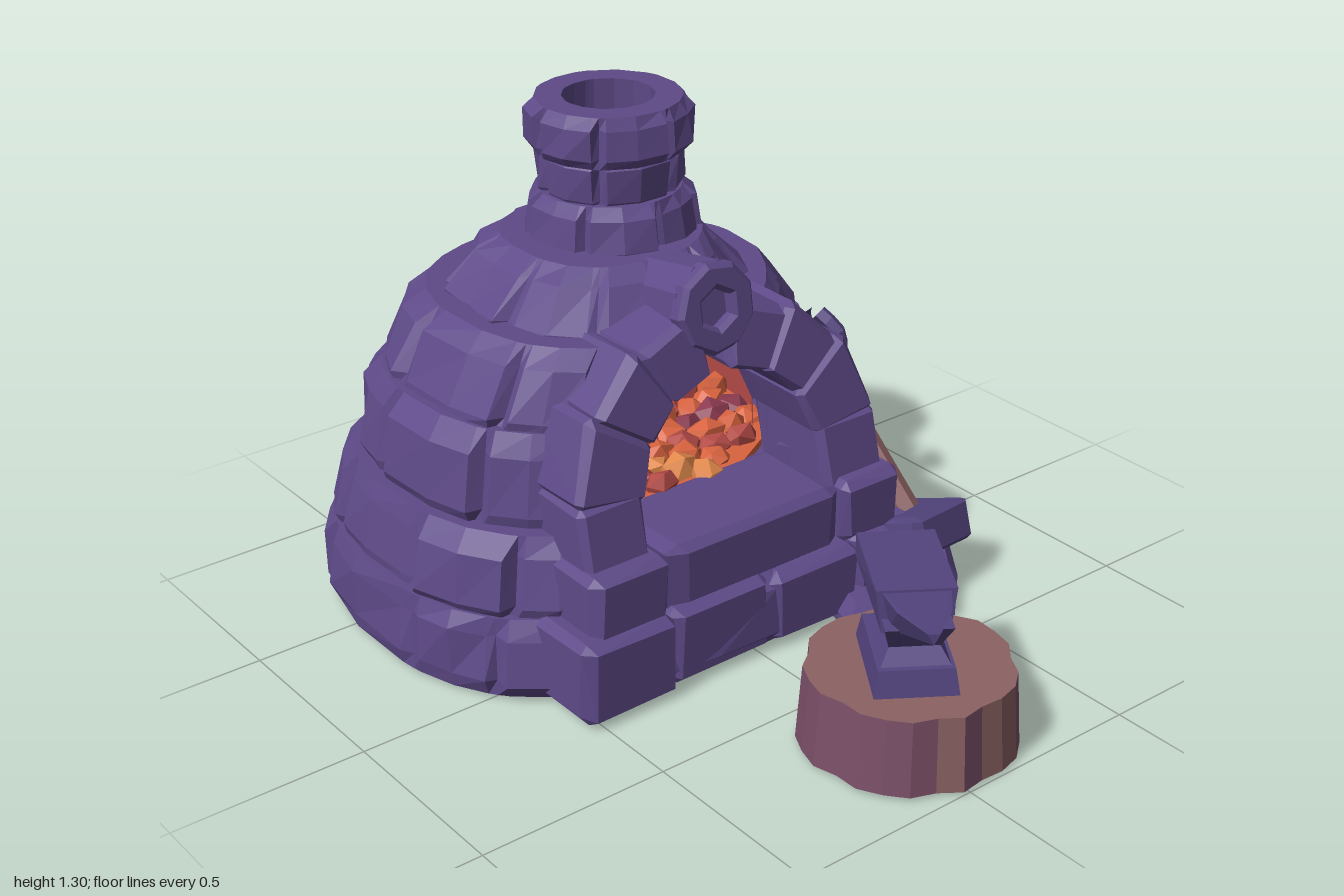
import * as THREE from 'three';
import { ConvexGeometry } from 'three/addons/geometries/ConvexGeometry.js';

const mat = (name, color, side = THREE.FrontSide) =>
  new THREE.MeshStandardMaterial({ name, color, side, flatShading: true });
const V = (x, y, z) => new THREE.Vector3(x, y, z);
const hash = (n) => { const s = Math.sin(n * 12.9898) * 43758.5453; return s - Math.floor(s); };
const { lerp, smoothstep, degToRad } = THREE.MathUtils;

export function createModel() {
  const model = new THREE.Group();
  model.name = 'stoneForge';
  const stone = mat('purple stone', 0x5e4a88);
  const iron = mat('dark iron', 0x54457f);
  const brick = mat('hot red brick', 0x8c3a50, THREE.DoubleSide);
  const hot = mat('red hot coal', 0xb24a46, THREE.DoubleSide);
  const ember = mat('glowing ember', 0xd8633f, THREE.DoubleSide);
  const flame = mat('bright ember', 0xe38a4c, THREE.DoubleSide);
  const bark = mat('mauve bark', 0x7c5068);
  const wood = mat('cut wood', 0x8c6263);
  const rust = mat('rusty handle', 0x7c4a5c);
  let seed = 1;
  const jit = (a) => (hash(seed++) - 0.5) * 2 * a;

  const add = (name, geo, material, parent = model) => {
    const m = new THREE.Mesh(geo, material);
    m.name = name;
    parent.add(m);
    return m;
  };
  const group = (name) => {
    const g = new THREE.Group();
    g.name = name;
    model.add(g);
    return g;
  };

  // Chamfered, slightly irregular block; map bends the unit cube (0..1) into place
  const hewn = (map, c = 0.13, rough = 0.04) => {
    const pts = [];
    for (const x of [0, 1]) for (const y of [0, 1]) for (const z of [0, 1])
      for (let axis = 0; axis < 3; axis++) {
        const p = [x, y, z].map((s, i) => (i === axis ? s : lerp(s, 0.5, c * 2) + jit(rough)));
        pts.push(map(...p));
      }
    return new ConvexGeometry(pts);
  };
  const hewnBox = (x0, x1, y0, y1, z0, z1, c, rough) =>
    hewn((u, v, w) => V(lerp(x0, x1, u), lerp(y0, y1, v), lerp(z0, z1, w)), c, rough);

  // Bulging stone of a round course, from angle a0 to a1 (0 faces the front)
  const ringStone = (o, a0, a1) => {
    const geo = new THREE.BoxGeometry(1, 1, 1, 4, 3, 1);
    const pos = geo.attributes.position, id = seed++;
    const us = [0, 0.1, 0.5, 0.9, 1], vs = [0, 0.2, 0.78, 1];
    const e = o.round ? 1 : 0.82;
    const pw = (s) => Math.sign(s) * Math.abs(s) ** e;
    const bump = (hash(id * 7.3) - 0.5) * o.rough;
    for (let i = 0; i < pos.count; i++) {
      const ui = Math.round((pos.getX(i) + 0.5) * 4), vi = Math.round((pos.getY(i) + 0.5) * 3);
      const front = pos.getZ(i) > 0;
      const rim = ui % 4 === 0 || vi % 3 === 0;
      const n = (hash(id * 31 + ui * 5.1 + vi * 17.7) - 0.5) * o.rough;
      const a = lerp(a0, a1, us[ui]);
      let off = -o.depth;
      if (front) off = rim ? -o.chamfer : bump + n;
      const rx = lerp(o.rx[0], o.rx[1], vs[vi]) + off, rz = lerp(o.rz[0], o.rz[1], vs[vi]) + off;
      const y = lerp(o.y[0], o.y[1], vs[vi]) + (front && !rim ? n * 0.5 : 0);
      let x = rx * pw(Math.sin(a));
      const z = rz * pw(Math.cos(a));
      // the right flank is rounder than the left
      if (!o.round && x > 0) x *= 1 - 0.15 * smoothstep(Math.abs(z), 0.04, 0.34);
      pos.setXYZ(i, o.cx + x, y, o.cz + z);
    }
    return geo;
  };
  const course = (name, o) => {
    const g = group(name), gap = o.gap || 0;
    const span = Math.PI * 2 - gap * 2, start = gap + (o.turn || 0);
    const cut = (i) => start + (span * (i + (i > 0 && i < o.n ? (hash(i + o.n * 9) - 0.5) * 0.4 : 0))) / o.n;
    for (let i = 0; i < o.n; i++) add('courseStone', ringStone(o, cut(i), cut(i + 1)), stone, g);
  };

  // Dome courses, the middle ones open at the mouth
  const dome = { cx: -0.012, cz: -0.37, depth: 0.13, chamfer: 0.024, rough: 0.024 };
  [
    { y: [0, 0.21], rx: [0.745, 0.735], rz: [0.627, 0.61], n: 12, turn: 0.1 },
    { y: [0.19, 0.41], rx: [0.715, 0.675], rz: [0.595, 0.565], n: 11, gap: 0.5 },
    { y: [0.39, 0.64], rx: [0.64, 0.595], rz: [0.52, 0.485], n: 10, gap: 0.6 },
    { y: [0.62, 0.82], rx: [0.58, 0.46], rz: [0.485, 0.43], n: 9, gap: 0.6 },
    { y: [0.79, 0.95], rx: [0.41, 0.27], rz: [0.39, 0.27], n: 8, turn: 0.3 },
  ].forEach((c, i) => course('domeCourse' + (i + 1), { ...dome, ...c }));

  // Chimney rings
  const stack = { cx: 0.025, cz: -0.385, round: true, chamfer: 0.016, rough: 0.018 };
  [
    { y: [0.92, 1.06], rx: [0.22, 0.2], depth: 0.09, n: 7 },
    { y: [1.04, 1.18], rx: [0.18, 0.176], depth: 0.055, n: 6, turn: 0.4 },
    { y: [1.16, 1.29], rx: [0.208, 0.202], depth: 0.085, n: 7, turn: 0.2 },
  ].forEach((c, i) => course('chimneyRing' + (i + 1), { ...stack, ...c, rz: c.rx }));

  // Solid hearth base
  const base = add('hearthBase', new THREE.CylinderGeometry(0.6, 0.63, 0.34, 20), stone);
  base.scale.z = 0.88;
  base.position.set(-0.03, 0.17, -0.37);

  // Firing chamber open at the front: glowing lower wall, red bricks and vault above
  const shell = (name, material, pts, start, end = Math.PI * 2 - start) => {
    const steps = Math.max(3, Math.round((end - start) * 2.4));
    const m = add(name, new THREE.LatheGeometry(pts.map((p) => new THREE.Vector2(...p)), steps, start, end - start), material);
    m.position.set(-0.01, 0, -0.38);
    m.scale.z = 0.8;
  };
  const back = Math.PI, wide = 0.5;
  const low = [[0.43, 0.33], [0.43, 0.44], [0.42, 0.53]];
  shell('glowingBack', ember, low, back - wide, back + wide);
  shell('hotSideRight', hot, low, 0.78, back - wide);
  shell('hotSideLeft', hot, low, back + wide, Math.PI * 2 - 0.78);
  shell('brightStreak', flame, [[0.416, 0.515], [0.4, 0.548]], back - 0.3, back + 0.42);
  shell('brickWallLower', brick, [[0.42, 0.53], [0.405, 0.535], [0.4, 0.64]], 0.78);
  shell('brickWallUpper', brick, [[0.4, 0.64], [0.385, 0.645], [0.365, 0.74]], 0.78);
  shell('chamberVault', brick, [[0.365, 0.74], [0.24, 0.83], [0.085, 0.95]], 0);
  const flue = add('flue', new THREE.CylinderGeometry(0.116, 0.085, 0.28, 8, 1, true), brick);
  flue.position.set(0.025, 1.07, -0.385);

  // Coal bed, heaped slightly towards the back
  const bed = add('emberBed', new THREE.CylinderGeometry(0.43, 0.43, 0.02, 16), ember);
  bed.position.set(-0.01, 0.35, -0.36);
  bed.scale.z = 0.85;
  const coals = group('coals');
  const coalMats = [ember, hot, ember, brick, ember, hot, flame];
  for (let i = 0; i < 80; i++) {
    const r = 0.4 * Math.sqrt((i + 0.5) / 80), a = i * 2.39996;
    const x = r * Math.sin(a), z = 0.85 * r * Math.cos(a);
    const coal = add('coal', new THREE.IcosahedronGeometry(0.045 + hash(i) * 0.02, 0), coalMats[i % 7], coals);
    coal.position.set(x - 0.01, 0.36 + Math.max(0, 0.05 - z) * 0.13, -0.37 + z);
    coal.rotation.set(i, i * 2, 0);
    coal.scale.y = 0.7;
  }

  // Front wall below the mouth, with its sill
  const wall = group('frontWall');
  [[-0.55, -0.27, 0, 0.22, 0.28], [-0.28, 0.04, 0, 0.21, 0.26], [0.03, 0.33, 0, 0.2, 0.27], [0.31, 0.52, 0, 0.22, 0.27],
    [-0.5, -0.27, 0.2, 0.37, 0.25], [-0.28, 0.3, 0.19, 0.365, 0.23], [0.28, 0.47, 0.2, 0.37, 0.25]]
    .forEach(([x0, x1, y0, y1, z]) => add('wallStone', hewnBox(x0, x1, y0, y1, -0.06, z, 0.1, 0.03), stone, wall));

  // Leaning arch around the mouth
  const arch = group('arch');
  const face = (y) => 0.2 - (y - 0.36) * 0.22;
  for (const s of [-1, 1]) {
    add('archJamb', hewn((u, v, w) => {
      const y = lerp(0.34, 0.52, v);
      return V(-0.015 + s * lerp(0.275, 0.465, u), y, face(y) - 0.28 * (1 - w));
    }, 0.09, 0.03), stone, arch);
    [[6, 34, 0.47], [33, 58, 0.45], [57, 84, 0.43]].forEach(([d0, d1, outer]) =>
      add('archStone', hewn((u, v, w) => {
        const a = degToRad(lerp(d0, d1, v)), r = lerp(0.265, outer, u);
        const y = 0.46 + r * Math.sin(a);
        return V(-0.015 + s * r * Math.cos(a), y, face(y) - 0.28 * (1 - w));
      }, 0.09, 0.03), stone, arch));
  }

  // Round keystone with a hexagonal recess
  const ngon = (Type, n, r) => new Type().setFromPoints(Array.from({ length: n }, (_, i) =>
    new THREE.Vector2(Math.cos((i + 0.5) / n * Math.PI * 2) * r, Math.sin((i + 0.5) / n * Math.PI * 2) * r)));
  const key = group('keystone');
  const ring = ngon(THREE.Shape, 9, 0.105);
  ring.holes.push(ngon(THREE.Path, 6, 0.064));
  add('keystoneRing', new THREE.ExtrudeGeometry(ring, { depth: 0.03, bevelThickness: 0.012, bevelSize: 0.012, bevelSegments: 1 }), stone, key);
  const keyBody = add('keystoneBody', new THREE.CylinderGeometry(0.115, 0.105, 0.24, 9), stone, key);
  keyBody.rotation.x = Math.PI / 2;
  keyBody.position.z = -0.11;
  key.position.set(-0.01, 0.88, 0.055);
  key.rotation.x = -0.15;

  // Chopping stump: ragged bark, a few strips worn down to the wood
  const stumpGeo = new THREE.CylinderGeometry(0.256, 0.27, 0.195, 26, 1);
  const sp = stumpGeo.attributes.position;
  for (let i = 0; i < sp.count; i++) {
    const k = (Math.round(Math.atan2(sp.getX(i), sp.getZ(i)) / (Math.PI * 2) * 26) + 26) % 26;
    const f = 1 - (k % 4 === 0 ? 0.07 : 0.03 * hash(k));
    sp.setX(i, sp.getX(i) * f);
    sp.setZ(i, sp.getZ(i) * f);
  }
  stumpGeo.clearGroups();
  for (let k = 0; k < 26; k++) stumpGeo.addGroup(k * 6, 6, [0, 1, 24].includes(k) ? 1 : 0);
  stumpGeo.addGroup(26 * 6, 26 * 6, 1);
  const stump = add('stump', stumpGeo, [bark, wood]);
  stump.position.set(0.045, 0.0975, 0.74);

  // Anvil, horn along local +z
  const anvil = group('anvil');
  const frustum = (name, y0, w0, d0, y1, w1, d1) => add(name, new ConvexGeometry(
    [[y0, w0, d0], [y1, w1, d1]].flatMap(([y, w, d]) => [-1, 1].flatMap((a) => [-1, 1].map((b) => V(a * w, y, b * d - 0.03))))), iron, anvil);
  frustum('anvilFoot', 0, 0.1, 0.14, 0.065, 0.09, 0.125);
  frustum('anvilWaistLower', 0.06, 0.085, 0.115, 0.1, 0.06, 0.08);
  frustum('anvilWaistUpper', 0.1, 0.06, 0.08, 0.18, 0.08, 0.14);
  const heel = [];
  for (const x of [-0.094, 0.094])
    heel.push(V(x, 0.232, -0.25), V(x, 0.17, -0.25), V(x * 0.9, 0.15, -0.14), V(x * 0.85, 0.145, 0.06), V(x, 0.25, 0.05));
  add('anvilFace', new ConvexGeometry(heel), iron, anvil);
  add('anvilHorn', new ConvexGeometry([V(-0.08, 0.243, 0.045), V(0.08, 0.243, 0.045), V(-0.06, 0.145, 0.045), V(0.06, 0.145, 0.045),
    V(-0.062, 0.253, 0.15), V(0.062, 0.253, 0.15), V(0, 0.175, 0.16), V(-0.014, 0.268, 0.268), V(0.014, 0.268, 0.268), V(0, 0.24, 0.268)]), iron, anvil);
  anvil.position.set(0.016, 0.195, 0.768);
  anvil.rotation.y = -0.588;

  // Flat slab beside the forge
  const outline = [[0.22, 0.34], [0.5, 0.435], [0.61, 0.33], [0.72, 0.18], [0.71, 0.04], [0.52, -0.05], [0.3, 0.1]];
  add('slab', new ConvexGeometry(outline.flatMap(([x, z]) => [V(x, 0, z), V(x, 0.03, z),
    V(lerp(x, 0.5, 0.15), 0.07, lerp(z, 0.18, 0.15))])), stone);

  // Straight bar between two points
  const bar = (name, a, b, r0, r1, material, parent) => {
    const d = b.clone().sub(a);
    const m = add(name, new THREE.CylinderGeometry(r1, r0, d.length(), 6), material, parent);
    m.position.copy(a).addScaledVector(d, 0.5);
    m.quaternion.setFromUnitVectors(V(0, 1, 0), d.normalize());
  };

  // Hammer leaning on the forge
  const hammer = group('hammer');
  const head = add('hammerHead', hewnBox(-0.13, 0.13, -0.055, 0.055, -0.09, 0.09, 0.1, 0.02), iron, hammer);
  head.position.set(0.54, 0.16, 0.25);
  head.rotation.set(-0.35, 0.25, -0.06);
  bar('hammerHandle', V(0.53, 0.2, 0.21), V(0.475, 0.55, -0.085), 0.037, 0.031, wood, hammer);
  bar('hammerCap', V(0.477, 0.535, -0.073), V(0.472, 0.56, -0.094), 0.036, 0.033, iron, hammer);

  // Tongs: two legs, a pivot and curved jaws
  const tongs = group('tongs');
  bar('tongLegBack', V(0.735, 0, -0.17), V(0.6, 0.47, -0.165), 0.021, 0.019, rust, tongs);
  bar('tongLegFront', V(0.705, 0, 0.035), V(0.59, 0.48, -0.16), 0.021, 0.019, iron, tongs);
  bar('tongPivot', V(0.56, 0.465, -0.165), V(0.63, 0.485, -0.165), 0.03, 0.03, iron, tongs);
  for (const s of [-1, 1]) {
    const path = new THREE.CatmullRomCurve3([V(0.595, 0.45, -0.17), V(0.59, 0.52, -0.185 + s * 0.055),
      V(0.575, 0.58, -0.195 + s * 0.07), V(0.55, 0.625, -0.205 + s * 0.03)]);
    add('tongJaw', new THREE.TubeGeometry(path, 6, 0.022, 5), iron, tongs);
  }
  return model;
}
